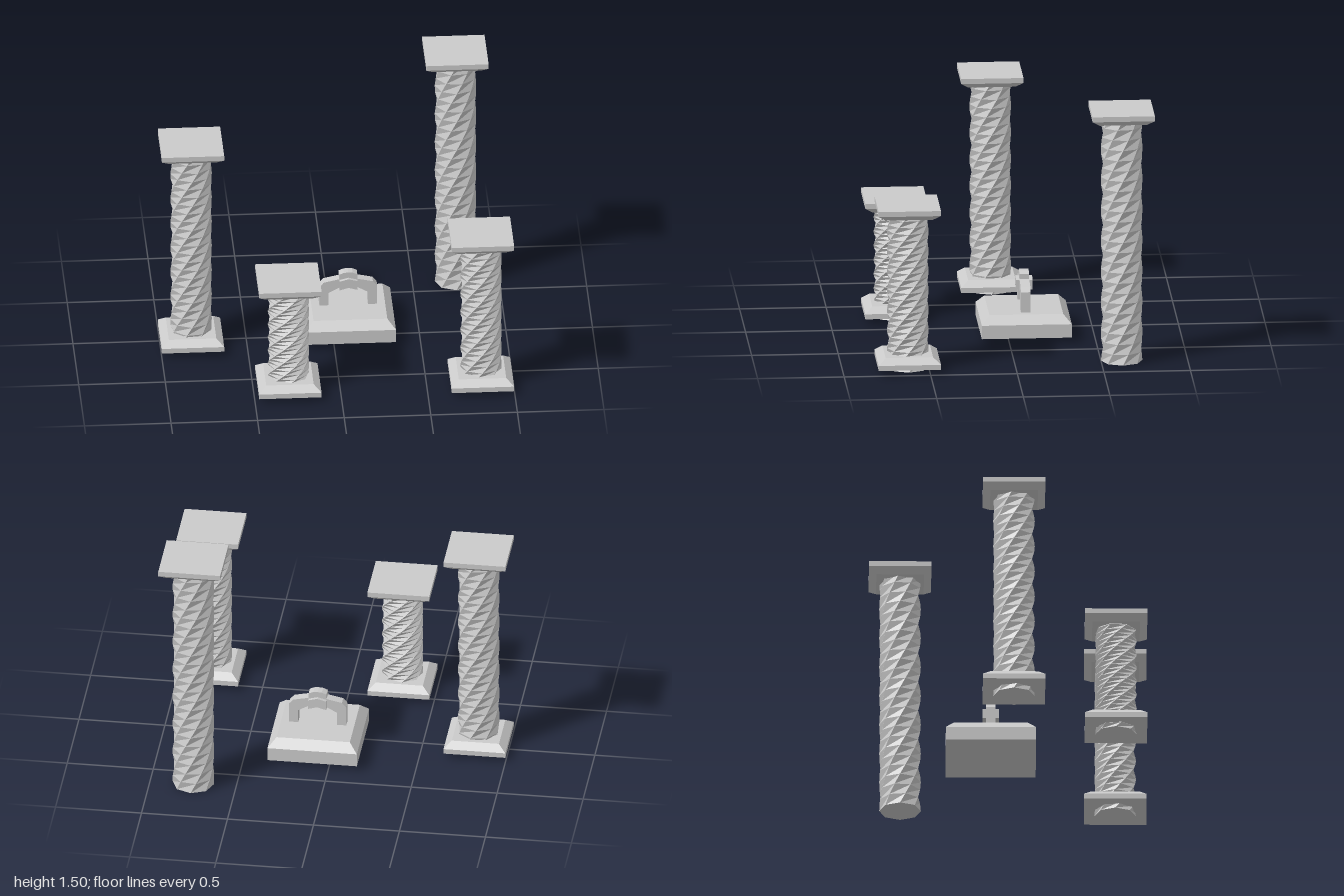
import * as THREE from 'three';

const material = new THREE.MeshStandardMaterial({ color: 0xcccccc, flatShading: true, side: THREE.DoubleSide });

function addMesh(parent, geometry, name, x = 0, y = 0, z = 0) {
  const mesh = new THREE.Mesh(geometry, material);
  mesh.name = name;
  mesh.position.set(x, y, z);
  parent.add(mesh);
  return mesh;
}

// Square slab with one tapered face; profile is a list of [halfWidth, y]
function squareProfile(profile) {
  const [first, last] = [profile[0], profile[profile.length - 1]];
  const points = [[0, first[1]], ...profile, [0, last[1]]]
    .map(([h, y]) => new THREE.Vector2(h * Math.SQRT2, y));
  return new THREE.LatheGeometry(points, 4, Math.PI / 4).toNonIndexed();
}

// Octagonal shaft turned once around its axis from bottom to top
function twistedShaft(height) {
  const geometry = new THREE.CylinderGeometry(0.12, 0.12, height, 8, 24);
  geometry.translate(0, height / 2, 0);
  const p = geometry.attributes.position;
  const v = new THREE.Vector3();
  const up = new THREE.Vector3(0, 1, 0);
  for (let i = 0; i < p.count; i++) {
    v.fromBufferAttribute(p, i);
    v.applyAxisAngle(up, (v.y / height) * Math.PI * 2);
    p.setXYZ(i, v.x, v.y, v.z);
  }
  geometry.computeVertexNormals();
  return geometry;
}

function createColumn(name, x, z, top, hasBase) {
  const column = new THREE.Group();
  column.name = name;
  column.position.set(x, 0, z);
  addMesh(column, twistedShaft(top - 0.04), 'twistedShaft');
  addMesh(column, squareProfile([[0.137, -0.063], [0.18, -0.03], [0.18, 0]]), 'capital', 0, top, 0);
  if (hasBase) addMesh(column, squareProfile([[0.18, 0.03], [0.18, 0.06], [0.137, 0.095]]), 'columnBase');
  return column;
}

// Extrudes an outline in the xy plane, centred on z = 0
function extrudeOutline(points, depth) {
  const shape = new THREE.Shape(points.map(([x, y]) => new THREE.Vector2(x, y)));
  const geometry = new THREE.ExtrudeGeometry(shape, { depth, bevelEnabled: false });
  return geometry.translate(0, 0, -depth / 2);
}

// Completes the right half of an outline with its mirror image
const mirrored = (half) => [...half, ...half.filter(([x]) => x > 0).reverse().map(([x, y]) => [-x, y])];

function createPlinth() {
  const plinth = new THREE.Group();
  plinth.name = 'handledPlinth';
  plinth.position.set(0.095, 0, -0.1);
  addMesh(plinth, squareProfile([[0.26, 0.03], [0.26, 0.11], [0.213, 0.16]]), 'plinthSlab');

  // Arched handle: inner edge from the crown down, then the outer edge back up
  const inner = [[0, 0.285], [0.05, 0.275], [0.113, 0.24], [0.113, 0.15]];
  const outer = [[0.167, 0.15], [0.167, 0.28], [0.142, 0.308], [0.05, 0.328], [0, 0.34]];
  const arch = [...inner, ...outer,
    ...outer.slice(0, -1).reverse().map(([x, y]) => [-x, y]),
    ...inner.slice(1).reverse().map(([x, y]) => [-x, y])];
  addMesh(plinth, extrudeOutline(arch, 0.056), 'archedHandle');

  // Clasp wrapped over the crown of the handle
  const band = [[-0.052, 0.265], [0, 0.28], [0.052, 0.265], [0.052, 0.322], [0, 0.336], [-0.052, 0.322]];
  addMesh(plinth, extrudeOutline(band, 0.096), 'claspBand');
  const crest = mirrored([[0, 0.29], [0.052, 0.28], [0.052, 0.357], [0.025, 0.368], [0, 0.37]]);
  // Drop the duplicate centre crossing by listing the crest in order around its edge
  const ordered = crest.sort((a, b) => Math.atan2(a[1] - 0.325, a[0]) - Math.atan2(b[1] - 0.325, b[0]));
  addMesh(plinth, extrudeOutline(ordered, 0.056), 'claspCrest');
  return plinth;
}

export function createModel() {
  const model = new THREE.Group();
  model.name = 'columnRuins';
  model.add(
    createColumn('rightColumn', -0.82, 0.03, 1.31, true),
    createColumn('shortColumn', -0.297, 0.62, 0.72, true),
    createColumn('frontLeftColumn', 0.815, 0.62, 0.98, true),
    createColumn('tallBackColumn', 0.75, -0.62, 1.505, false),
    createPlinth(),
  );
  return model;
}
